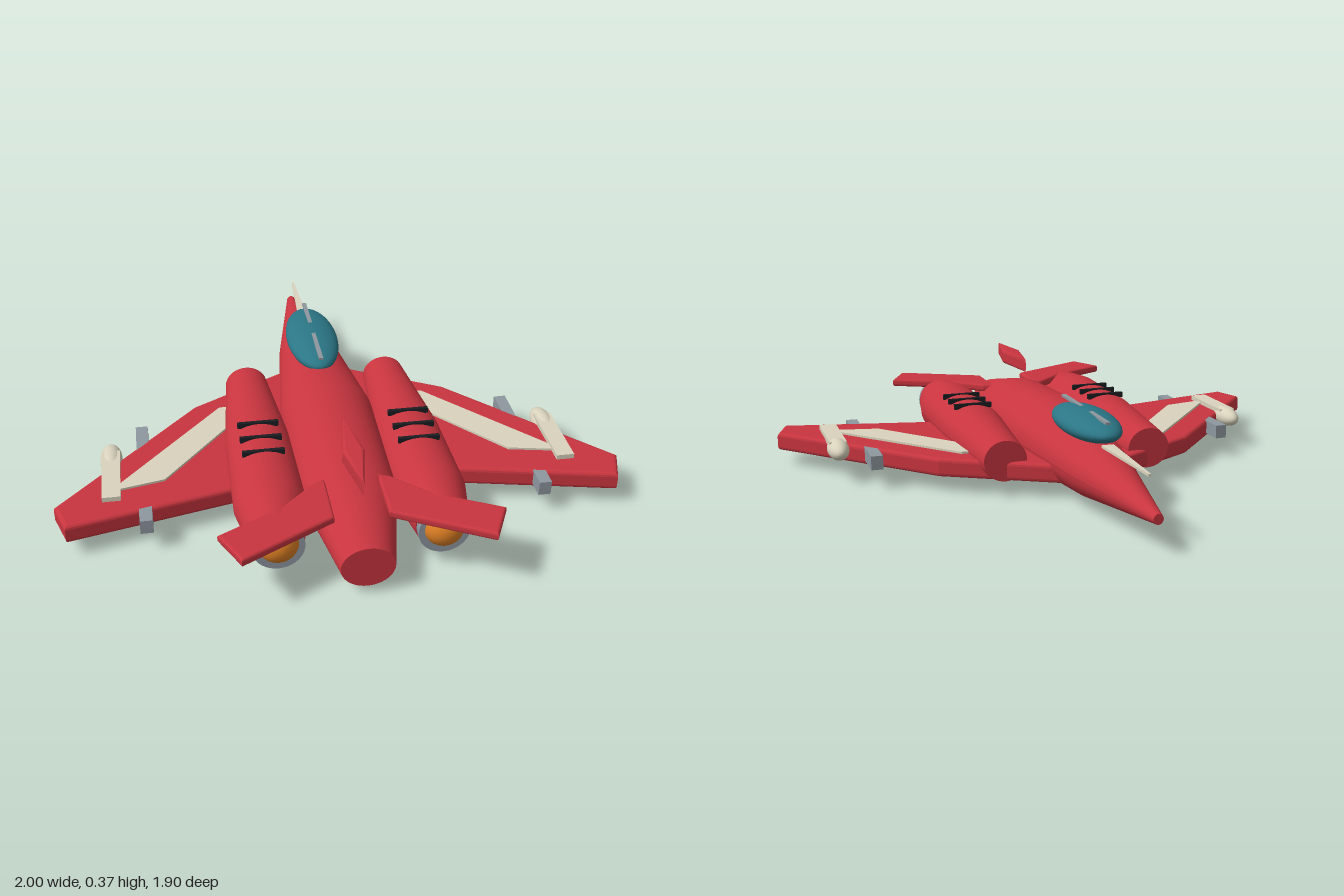
import * as THREE from 'three';

const mat = (name, color) => {
  const m = new THREE.MeshStandardMaterial({ color });
  m.name = name;
  return m;
};

// Closed body through elliptical sections [z, centreY, halfWidth, halfHeight]
function loft(sections, n = 36) {
  const pos = [], idx = [];
  const ring = ([z, cy, w, h]) => {
    const start = pos.length / 3;
    for (let j = 0; j <= n; j++) {
      const a = (j / n) * Math.PI * 2;
      pos.push(Math.cos(a) * w, cy + Math.sin(a) * h, z);
    }
    return start;
  };
  const rows = sections.map(ring);
  for (let i = 0; i < rows.length - 1; i++) {
    for (let j = 0; j < n; j++) {
      const a = rows[i] + j, b = rows[i + 1] + j;
      idx.push(a, a + 1, b + 1, a, b + 1, b);
    }
  }
  // flat end caps with their own vertices
  [[sections[0], true], [sections[sections.length - 1], false]].forEach(([s, front]) => {
    const r = ring(s), c = pos.length / 3;
    pos.push(0, s[1], s[0]);
    for (let j = 0; j < n; j++) {
      if (front) idx.push(c, r + j + 1, r + j);
      else idx.push(c, r + j, r + j + 1);
    }
  });
  const g = new THREE.BufferGeometry();
  g.setAttribute('position', new THREE.Float32BufferAttribute(pos, 3));
  g.setIndex(idx);
  g.computeVertexNormals();
  return g;
}

// Horizontal slab from an (x, z) outline between two heights
function slab(points, bottom, top, bevel = 0, side = 1) {
  const shape = new THREE.Shape(points.map(([x, z]) => new THREE.Vector2(x * side, z)));
  const g = new THREE.ExtrudeGeometry(shape, {
    depth: top - bottom - 2 * bevel,
    bevelEnabled: bevel > 0, bevelThickness: bevel, bevelSize: bevel,
    bevelOffset: -bevel, bevelSegments: 3,
  });
  g.rotateX(Math.PI / 2);
  g.translate(0, top - bevel, 0);
  return g;
}

// Box given by its limits
function box(x0, x1, y0, y1, z0, z1) {
  return new THREE.BoxGeometry(x1 - x0, y1 - y0, z1 - z0)
    .translate((x0 + x1) / 2, (y0 + y1) / 2, (z0 + z1) / 2);
}

function ellipsoid(x, y, z, rx, ry, rz) {
  return new THREE.SphereGeometry(1, 32, 20).scale(rx, ry, rz).translate(x, y, z);
}

export function createModel() {
  const red = mat('hull red', 0xc8353f);
  const cream = mat('cream', 0xd9d3bd);
  const teal = mat('canopy teal', 0x2b7686);
  const grey = mat('metal grey', 0x8e979f);
  const orange = mat('engine orange', 0xdf8024);
  const black = mat('vent black', 0x1c1d21);

  const model = new THREE.Group();
  model.name = 'jet';
  const add = (parent, name, geometry, material) => {
    const mesh = new THREE.Mesh(geometry, material);
    mesh.name = name;
    parent.add(mesh);
    return mesh;
  };

  // Fuselage, nose towards -z
  add(model, 'fuselage', loft([
    [-0.955, 0.122, 0.017, 0.018],
    [-0.45, 0.135, 0.115, 0.1],
    [0.05, 0.147, 0.175, 0.142],
    [0.55, 0.143, 0.165, 0.118],
    [0.9, 0.11, 0.09, 0.076],
  ]), red);

  // Canopy with its centre rail and the nose probe
  add(model, 'canopy', ellipsoid(0, 0.276, -0.312, 0.1, 0.05, 0.24), teal);
  add(model, 'canopyRail', box(-0.008, 0.008, 0.316, 0.325, -0.525, -0.07), grey);
  add(model, 'noseProbe', slab(
    [[-0.004, -0.88], [0.004, -0.88], [0.022, -0.52], [-0.022, -0.52]], 0.237, 0.246), cream);

  // Raised diamond fin
  add(model, 'dorsalFin', slab(
    [[0, 0.4], [0.037, 0.61], [0, 0.8], [-0.037, 0.61]], 0.315, 0.37, 0.012), red);

  for (const s of [1, -1]) {
    const half = new THREE.Group();
    half.name = s > 0 ? 'leftSide' : 'rightSide';
    model.add(half);

    // Wing and its painted panel
    add(half, 'wing', slab([
      [0.08, -0.34], [0.14, -0.31], [0.49, -0.11], [1, 0.45], [0.96, 0.57], [0.4, 0.445], [0.08, 0.37],
    ], 0.062, 0.131, 0.014, s), red);
    add(half, 'wingPanel', slab([
      [0.34, -0.075], [0.395, -0.075], [0.81, 0.4], [0.62, 0.36], [0.34, 0.02],
    ], 0.13, 0.139, 0, s), cream);

    // Engine nacelle, nozzle and glow
    const engine = new THREE.Group();
    engine.name = 'engine';
    engine.position.x = s * 0.275;
    half.add(engine);
    add(engine, 'nacelle', loft([
      [-0.235, 0.136, 0.08, 0.075],
      [0.2, 0.142, 0.12, 0.1],
      [0.58, 0.143, 0.125, 0.105],
      [0.76, 0.143, 0.092, 0.09],
    ]), red);
    add(engine, 'nozzle', new THREE.CylinderGeometry(0.088, 0.088, 0.06, 36)
      .rotateX(Math.PI / 2).translate(0, 0.14, 0.762), grey);
    add(engine, 'exhaustGlow', ellipsoid(0, 0.147, 0.772, 0.071, 0.07, 0.065), orange);
    for (const z of [0.213, 0.305, 0.393]) {
      add(engine, 'vent', box(-0.074, 0.074, 0.228, 0.248, z - 0.007, z + 0.007), black);
    }

    // Tailplane
    add(half, 'tailplane', slab([
      [0.09, 0.57], [0.13, 0.585], [0.25, 0.7], [0.47, 0.815], [0.405, 0.95], [0.09, 0.78],
    ], 0.203, 0.234, 0.01, s), red);

    // Wing-tip pod on its rail, and the gun through the wing
    const tip = new THREE.Group();
    tip.name = 'wingStores';
    half.add(tip);
    const rail = add(tip, 'podRail', box(-0.032, 0.032, 0.125, 0.149, 0.17, 0.45), cream);
    rail.position.x = s * 0.805;
    add(tip, 'pod', ellipsoid(s * 0.805, 0.118, 0.185, 0.04, 0.038, 0.088), cream);
    const gun = add(tip, 'wingGun', box(-0.022, 0.022, 0.078, 0.13, 0, 0.575), grey);
    gun.position.x = s * 0.692;
  }
  return model;
}
